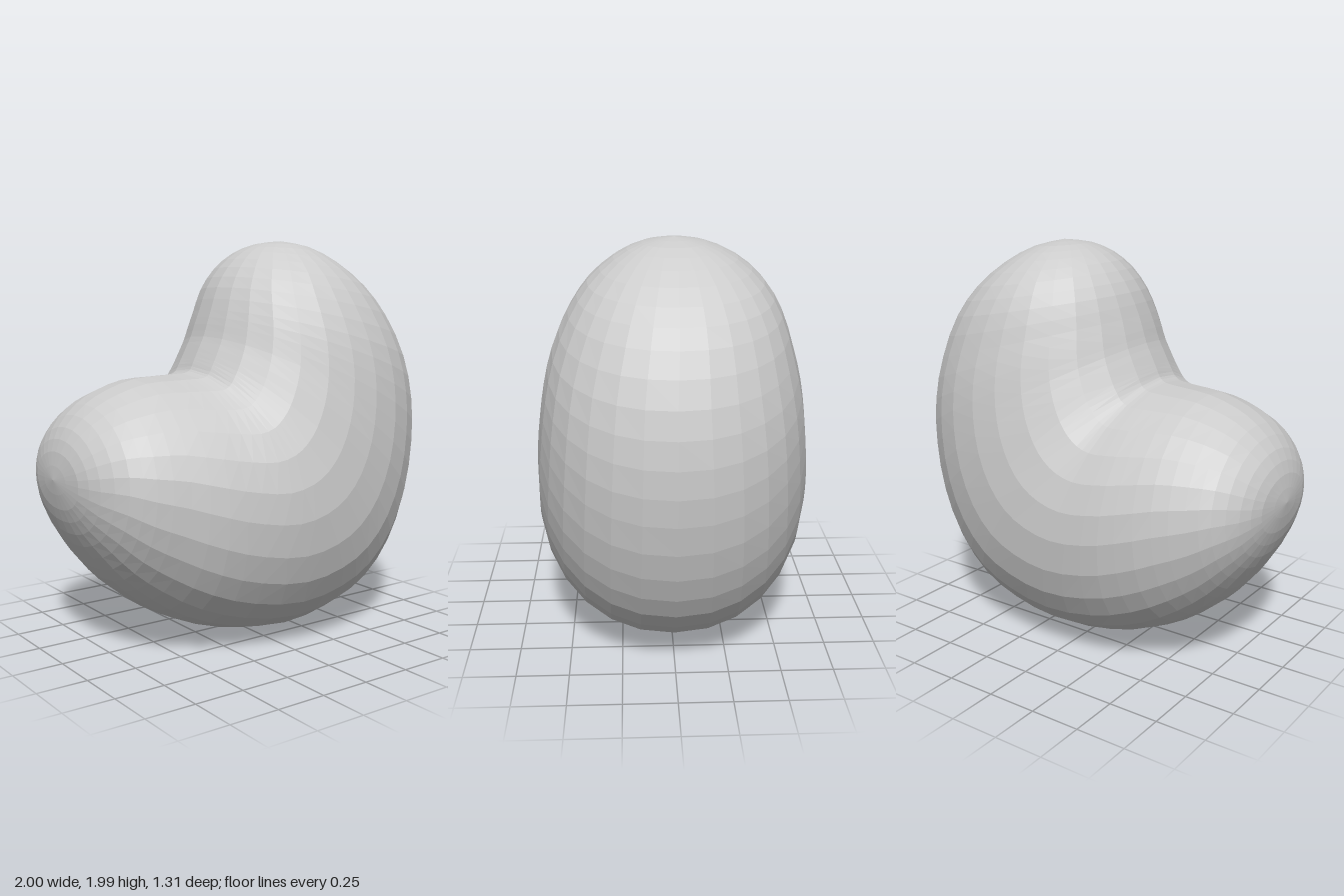
import * as THREE from 'three';

// Sections along the bend: inner edge x, y, outer edge x, y, half depth, centre z
const SECTIONS = [
  [-1, 0.87, -1, 0.87, 0, -0.05],
  [-0.98, 1.0, -0.975, 0.73, 0.21, -0.05],
  [-0.93, 1.11, -0.93, 0.61, 0.33, -0.05],
  [-0.83, 1.21, -0.86, 0.49, 0.435, -0.045],
  [-0.72, 1.27, -0.77, 0.37, 0.495, -0.04],
  [-0.57, 1.315, -0.64, 0.25, 0.55, -0.04],
  [-0.42, 1.325, -0.45, 0.13, 0.6, -0.03],
  [-0.33, 1.33, -0.2, 0.04, 0.63, -0.02],
  [-0.29, 1.335, 0.12, 0, 0.65, -0.005],
  [-0.27, 1.35, 0.4, 0.045, 0.655, 0],
  [-0.255, 1.38, 0.62, 0.14, 0.655, 0],
  [-0.24, 1.41, 0.8, 0.32, 0.65, 0],
  [-0.215, 1.46, 0.92, 0.56, 0.64, 0],
  [-0.19, 1.51, 0.985, 0.84, 0.62, 0],
  [-0.17, 1.57, 0.995, 1.1, 0.595, 0],
  [-0.145, 1.64, 0.95, 1.35, 0.555, 0],
  [-0.1, 1.75, 0.85, 1.58, 0.49, -0.01],
  [-0.03, 1.85, 0.73, 1.74, 0.405, -0.015],
  [0.06, 1.925, 0.58, 1.87, 0.285, -0.015],
  [0.17, 1.97, 0.44, 1.95, 0.15, -0.01],
  [0.3, 1.985, 0.3, 1.985, 0, -0.01],
];
const RINGS = 40;
const SIDES = 28;

// Power of a sine or cosine that keeps its sign
const signedPow = (v, p) => Math.sign(v) * Math.abs(v) ** p;

function beanGeometry() {
  const inner = new THREE.CatmullRomCurve3(SECTIONS.map(([x, y, , , , z]) => new THREE.Vector3(x, y, z)));
  const outer = new THREE.CatmullRomCurve3(SECTIONS.map(([, , x, y, w]) => new THREE.Vector3(x, y, w)));
  const positions = [];
  const index = [];

  for (let i = 0; i <= RINGS; i++) {
    const a = inner.getPoint(i / RINGS);
    const b = outer.getPoint(i / RINGS);
    for (let j = 0; j < SIDES; j++) {
      const angle = (j / SIDES) * Math.PI * 2;
      const c = Math.cos(angle);
      // The outer half is slightly fuller than an ellipse
      const power = c > 0 ? 2 / 2.15 : 1;
      const s = (1 + signedPow(c, power)) / 2;
      const z = a.z + b.z * signedPow(Math.sin(angle), power);
      positions.push(a.x + (b.x - a.x) * s, a.y + (b.y - a.y) * s, z);
    }
  }

  // Join neighbouring rings, dropping the empty triangles at both tips
  for (let i = 0; i < RINGS; i++) {
    for (let j = 0; j < SIDES; j++) {
      const k = (j + 1) % SIDES;
      const p = i * SIDES + j, q = i * SIDES + k;
      const r = p + SIDES, t = q + SIDES;
      if (i < RINGS - 1) index.push(p, r, t);
      if (i > 0) index.push(p, t, q);
    }
  }

  const geometry = new THREE.BufferGeometry();
  geometry.setAttribute('position', new THREE.Float32BufferAttribute(positions, 3));
  geometry.setIndex(index);
  geometry.computeVertexNormals();
  return geometry;
}

export function createModel() {
  const group = new THREE.Group();
  group.name = 'bean';
  const material = new THREE.MeshStandardMaterial({ color: 0xcccccc, flatShading: true });
  const body = new THREE.Mesh(beanGeometry(), material);
  body.name = 'beanBody';
  group.add(body);
  return group;
}
